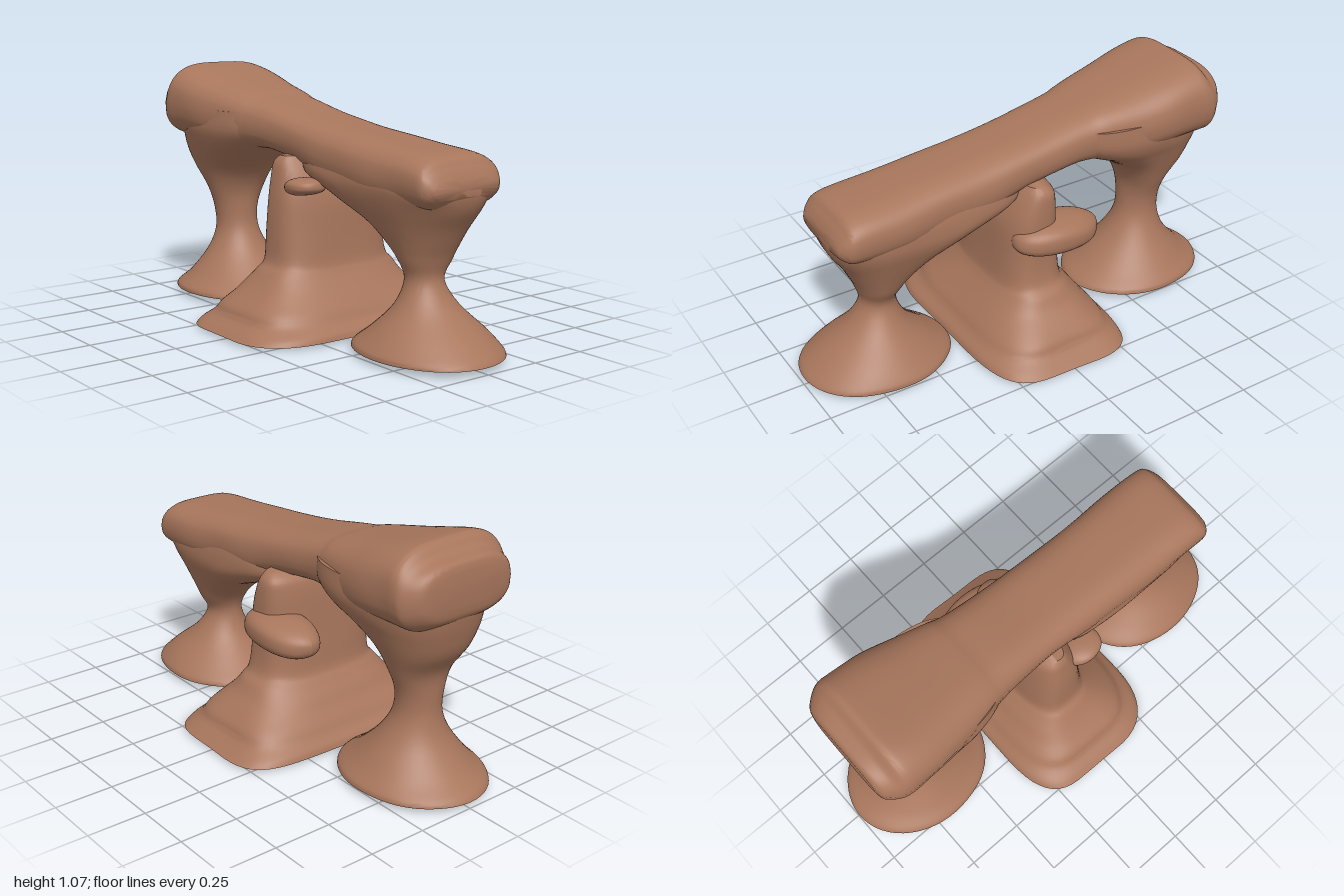
import * as THREE from 'three';
import { toCreasedNormals } from 'three/addons/utils/BufferGeometryUtils.js';

const SEG = 56;

// smooth, repeatable rock roughness in about -1..1
const rough = (x, y, z) =>
  Math.sin(9 * x + 4 * y + 1) * Math.sin(7 * z - 5 * y + 2) * 0.6 +
  Math.sin(17 * x - 6 * z) * Math.sin(15 * y + 8 * z + 1) * 0.4;

const signedPow = (v, e) => Math.sign(v) * Math.abs(v) ** e;

// superellipse point on a unit ring
const ringPoint = (i, n) => {
  const a = (i / SEG) * Math.PI * 2;
  return [signedPow(Math.cos(a), 2 / n), signedPow(Math.sin(a), 2 / n)];
};

// add in-between rows with a Catmull-Rom spline
function resample(rows, steps) {
  const out = [], at = i => rows[Math.max(0, Math.min(rows.length - 1, i))];
  for (let i = 0; i < rows.length - 1; i++) {
    for (let k = 0; k < steps; k++) {
      const t = k / steps;
      out.push(rows[i].map((p1, j) => {
        const p0 = at(i - 1)[j], p2 = at(i + 1)[j], p3 = at(i + 2)[j];
        const v0 = (p2 - p0) / 2, v1 = (p3 - p1) / 2;
        return (2 * p1 - 2 * p2 + v0 + v1) * t ** 3 + (3 * p2 - 3 * p1 - 2 * v0 - v1) * t * t + v0 * t + p1;
      }));
    }
  }
  out.push(rows[rows.length - 1]);
  return out;
}

// skin closed rings; startCap and endCap are centre points, or null for open
function skin(rings, startCap, endCap) {
  const pos = rings.flat(2), idx = [], last = (rings.length - 1) * SEG;
  for (let r = 0; r < rings.length - 1; r++) {
    for (let i = 0; i < SEG; i++) {
      const j = (i + 1) % SEG, a = r * SEG + i, b = r * SEG + j;
      idx.push(a, a + SEG, b, b, a + SEG, b + SEG);
    }
  }
  if (startCap) {
    const c = pos.length / 3;
    pos.push(...startCap);
    for (let i = 0; i < SEG; i++) idx.push(c, i, (i + 1) % SEG);
  }
  if (endCap) {
    const c = pos.length / 3;
    pos.push(...endCap);
    for (let i = 0; i < SEG; i++) idx.push(c, last + (i + 1) % SEG, last + i);
  }
  const g = new THREE.BufferGeometry();
  g.setAttribute('position', new THREE.Float32BufferAttribute(pos, 3));
  g.setIndex(idx);
  return toCreasedNormals(g, 0.75);
}

// upright rock from rows [y, xMin, xMax, zMin, zMax, squareness]
function upright(rows, { steps = 4, bump = 0.025, bottom = null, top = true } = {}) {
  const list = steps > 1 ? resample(rows, steps) : rows;
  const rings = list.map(([y, x0, x1, z0, z1, n]) => {
    const cx = (x0 + x1) / 2, cz = (z0 + z1) / 2;
    return Array.from({ length: SEG }, (_, i) => {
      const [u, v] = ringPoint(i, n);
      const x = u * (x1 - x0) / 2, z = v * (z1 - z0) / 2;
      const f = 1 + bump * rough(cx + x, y, cz + z);
      return [cx + x * f, y, cz + z * f];
    });
  });
  const mid = (r, y) => [(r[1] + r[2]) / 2, y, (r[3] + r[4]) / 2];
  const end = list[list.length - 1];
  return skin(rings, bottom === null ? null : mid(list[0], bottom), top ? mid(end, end[0]) : null);
}

// sideways rock from rows [x, yMin, yMax, zMin, zMax], narrower above and below
function lengthwise(rows) {
  const list = resample(rows, 5);
  const rings = list.map(([x, y0, y1, z0, z1]) => Array.from({ length: SEG }, (_, i) => {
    const [u, v] = ringPoint(i, 4);
    const y = u * (y1 - y0) / 2, taper = u < 0 ? 1 - 0.15 * u * u : 1 - 0.2 * u * u;
    const z = -v * taper * (z1 - z0) / 2;
    const f = 1 + 0.03 * rough(x, y, z);
    return [x, (y0 + y1) / 2 + y * (1 + (f - 1) * 0.4), (z0 + z1) / 2 + z * f];
  }));
  const mid = r => [r[0], (r[1] + r[2]) / 2, (r[3] + r[4]) / 2];
  return skin(rings, mid(list[0]), mid(list[list.length - 1]));
}

export function createModel() {
  const model = new THREE.Group();
  const rock = new THREE.MeshStandardMaterial({ color: 0xa8765c, side: THREE.DoubleSide });
  rock.name = 'brown rock';
  const moss = new THREE.MeshStandardMaterial({ color: 0x4a5a2e });
  moss.name = 'dark green';

  const add = (name, geometry, material = rock) => {
    const mesh = new THREE.Mesh(geometry, material);
    mesh.name = name;
    model.add(mesh);
    return mesh;
  };

  // sloping slab lying across the pillars
  add('slab', lengthwise([
    [-0.935, 0.83, 0.97, -0.17, 0.19],
    [-0.922, 0.78, 1.005, -0.225, 0.23],
    [-0.87, 0.74, 1.02, -0.275, 0.265],
    [-0.83, 0.73, 1.06, -0.285, 0.28],
    [-0.78, 0.73, 1.06, -0.285, 0.285],
    [-0.65, 0.73, 1.03, -0.28, 0.28],
    [-0.50, 0.72, 0.995, -0.25, 0.255],
    [-0.36, 0.715, 0.965, -0.22, 0.225],
    [-0.30, 0.72, 0.948, -0.205, 0.212],
    [-0.20, 0.72, 0.93, -0.195, 0.20],
    [0.00, 0.69, 0.89, -0.19, 0.195],
    [0.20, 0.64, 0.865, -0.195, 0.20],
    [0.40, 0.61, 0.845, -0.20, 0.205],
    [0.60, 0.60, 0.825, -0.21, 0.205],
    [0.79, 0.60, 0.805, -0.208, 0.205],
    [0.84, 0.62, 0.765, -0.195, 0.195],
    [0.868, 0.65, 0.72, -0.16, 0.16],
  ]));

  // hollow hourglass pillars with flared feet, spreading into the slab
  add('rightPillar', upright([
    [0.025, -1.00, -0.33, -0.275, 0.28, 2],
    [0.045, -0.985, -0.345, -0.27, 0.275, 2],
    [0.10, -0.91, -0.42, -0.22, 0.22, 2],
    [0.20, -0.82, -0.525, -0.145, 0.145, 2],
    [0.30, -0.785, -0.585, -0.10, 0.10, 2],
    [0.40, -0.785, -0.60, -0.10, 0.105, 2],
    [0.50, -0.80, -0.59, -0.135, 0.135, 2.2],
    [0.60, -0.865, -0.53, -0.175, 0.175, 2.5],
    [0.68, -0.895, -0.41, -0.21, 0.215, 2.7],
    [0.74, -0.912, -0.28, -0.24, 0.24, 2.7],
    [0.80, -0.922, -0.22, -0.255, 0.255, 2.7],
    [0.88, -0.925, -0.22, -0.25, 0.25, 2.7],
  ]));

  add('leftPillar', upright([
    [0.025, 0.33, 1.00, -0.27, 0.28, 2],
    [0.045, 0.345, 0.985, -0.265, 0.275, 2],
    [0.10, 0.42, 0.915, -0.22, 0.225, 2],
    [0.20, 0.525, 0.785, -0.125, 0.13, 2],
    [0.30, 0.565, 0.72, -0.072, 0.085, 2],
    [0.38, 0.54, 0.735, -0.11, 0.108, 2.2],
    [0.45, 0.47, 0.765, -0.14, 0.132, 2.4],
    [0.52, 0.36, 0.80, -0.17, 0.158, 2.6],
    [0.60, 0.16, 0.85, -0.20, 0.188, 3],
    [0.67, 0.02, 0.867, -0.202, 0.202, 4],
    [0.74, 0.00, 0.85, -0.19, 0.19, 4],
  ]));

  // central butte
  add('centrePillar', upright([
    [0.012, -0.335, 0.335, -0.535, 0.535, 4],
    [0.035, -0.325, 0.325, -0.505, 0.51, 4],
    [0.07, -0.295, 0.29, -0.465, 0.465, 3.8],
    [0.11, -0.27, 0.265, -0.445, 0.445, 3.6],
    [0.155, -0.235, 0.23, -0.40, 0.395, 3.4],
    [0.20, -0.205, 0.195, -0.35, 0.35, 3.2],
    [0.25, -0.165, 0.16, -0.315, 0.31, 3],
    [0.29, -0.143, 0.145, -0.28, 0.28, 3],
    [0.40, -0.135, 0.132, -0.265, 0.27, 3],
    [0.55, -0.125, 0.118, -0.26, 0.26, 3],
    [0.64, -0.115, 0.09, -0.258, 0.25, 3],
    [0.70, -0.10, 0.06, -0.252, 0.24, 3],
    [0.73, -0.065, 0.04, -0.225, 0.22, 3],
  ]));

  // stepped underside of the butte
  const oval = (y, rx, rz, n) => [y, -rx, rx, -rz, rz, n];
  add('centreUnderside', upright([
    oval(0, 0.15, 0.22, 2),
    oval(0, 0.22, 0.32, 2.2),
    oval(0.02, 0.24, 0.34, 2.4),
    oval(0.012, 0.28, 0.42, 2.8),
    oval(0.022, 0.295, 0.45, 3.2),
    oval(0.012, 0.335, 0.535, 4),
  ], { steps: 1, top: false }));

  // terraced green hollow underneath
  const terraces = [];
  for (let i = 1; i <= 5; i++) {
    const y = (5 - i) * 0.014;
    terraces.push(oval(y + 0.014, 0.03 * i - 0.005, 0.044 * i - 0.007, 2), oval(y, 0.03 * i, 0.044 * i, 2));
  }
  add('greenHollow', upright(terraces, { steps: 1, bump: 0, bottom: 0.07, top: false }), moss);

  // blunt ledges clinging to the front and back of the butte
  const ledge = (name, [x, y, z], [rx, ry, rz], tilt) => {
    const g = new THREE.SphereGeometry(1, 40, 24), p = g.attributes.position;
    for (let i = 0; i < p.count; i++) {
      const v = new THREE.Vector3().fromBufferAttribute(p, i);
      const f = 1 + 0.08 * rough(v.x / 5, v.y / 5, v.z / 5);
      p.setXYZ(i, v.x * rx * f, signedPow(v.y, 0.75) * ry * f, v.z * rz * f);
    }
    g.computeVertexNormals();
    const mesh = add(name, g);
    mesh.position.set(x, y, z);
    mesh.rotation.z = tilt;
  };
  ledge('frontLedge', [0.12, 0.615, 0.20], [0.09, 0.036, 0.08], 0.1);
  ledge('backLedge', [-0.095, 0.488, -0.215], [0.205, 0.075, 0.115], 0.05);

  return model;
}
